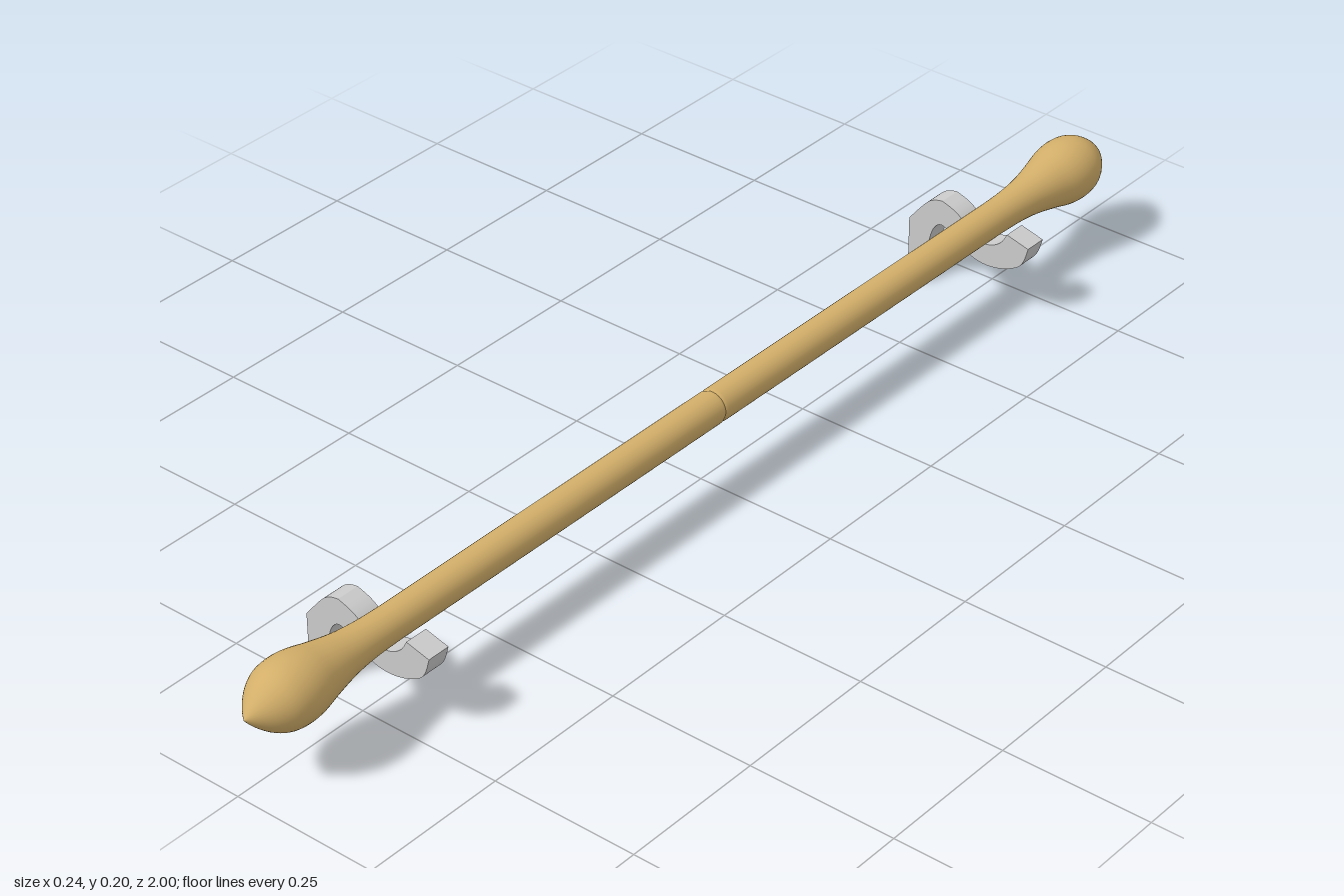
import * as THREE from 'three';

const ROD_X = 0.023, ROD_Y = 0.142;

// One half of the rod: slim shaft swelling into a pointed finial
function makeHalfRod(material) {
  const pts = [[0.0255, 0], [0.028, 0.006], [0.028, 0.35], [0.028, 0.71]].map(p => new THREE.Vector2(...p));
  const finial = new THREE.SplineCurve([
    [0.028, 0.71], [0.0295, 0.76], [0.034, 0.805], [0.043, 0.85], [0.0515, 0.885],
    [0.054, 0.913], [0.050, 0.94], [0.037, 0.964], [0.017, 0.986], [0, 1],
  ].map(p => new THREE.Vector2(...p)));
  pts.push(...finial.getPoints(36).slice(1));
  pts[pts.length - 1].x = 0;
  const geo = new THREE.LatheGeometry(pts, 40);
  geo.rotateX(Math.PI / 2);
  return new THREE.Mesh(geo, material);
}

// S-shaped hook: upright leg, hump, cradle and slanted lip
function makeBracketGeometry(width) {
  const v = list => list.map(p => new THREE.Vector2(...p));
  const s = new THREE.Shape();
  s.moveTo(-0.119, 0);
  s.lineTo(-0.074, 0);
  s.lineTo(-0.079, 0.074);
  s.splineThru(v([[-0.07, 0.103], [-0.054, 0.115], [-0.029, 0.103], [0.003, 0.082],
    [0.033, 0.075], [0.065, 0.079], [0.096, 0.093], [0.109, 0.109], [0.117, 0.135]]));
  s.lineTo(0.075, 0.146);
  s.splineThru(v([[0.064, 0.128], [0.046, 0.116], [0.023, 0.113], [0.003, 0.122],
    [-0.014, 0.141], [-0.031, 0.152], [-0.054, 0.160]]));
  s.splineThru(v([[-0.07, 0.156], [-0.087, 0.144], [-0.119, 0.105]]));
  s.closePath();
  const geo = new THREE.ExtrudeGeometry(s, { depth: width, bevelEnabled: false, curveSegments: 24 });
  geo.translate(0, 0, -width / 2);
  return geo;
}

export function createModel() {
  const model = new THREE.Group();
  model.name = 'curtainRod';
  const wood = new THREE.MeshStandardMaterial({ color: 0xd2ae69 });
  const grey = new THREE.MeshStandardMaterial({ color: 0xcccccc });

  // Two mirrored rod halves meeting at a fine seam
  for (const [name, turn] of [['frontRodHalf', 0], ['backRodHalf', Math.PI]]) {
    const half = makeHalfRod(wood);
    half.name = name;
    half.position.set(ROD_X, ROD_Y, 0);
    half.rotation.y = turn;
    model.add(half);
  }

  // Wall brackets
  const bracketGeo = makeBracketGeometry(0.04);
  for (const [name, z] of [['frontBracket', 0.713], ['backBracket', -0.698]]) {
    const bracket = new THREE.Mesh(bracketGeo, grey);
    bracket.name = name;
    bracket.position.z = z;
    model.add(bracket);
  }
  return model;
}
